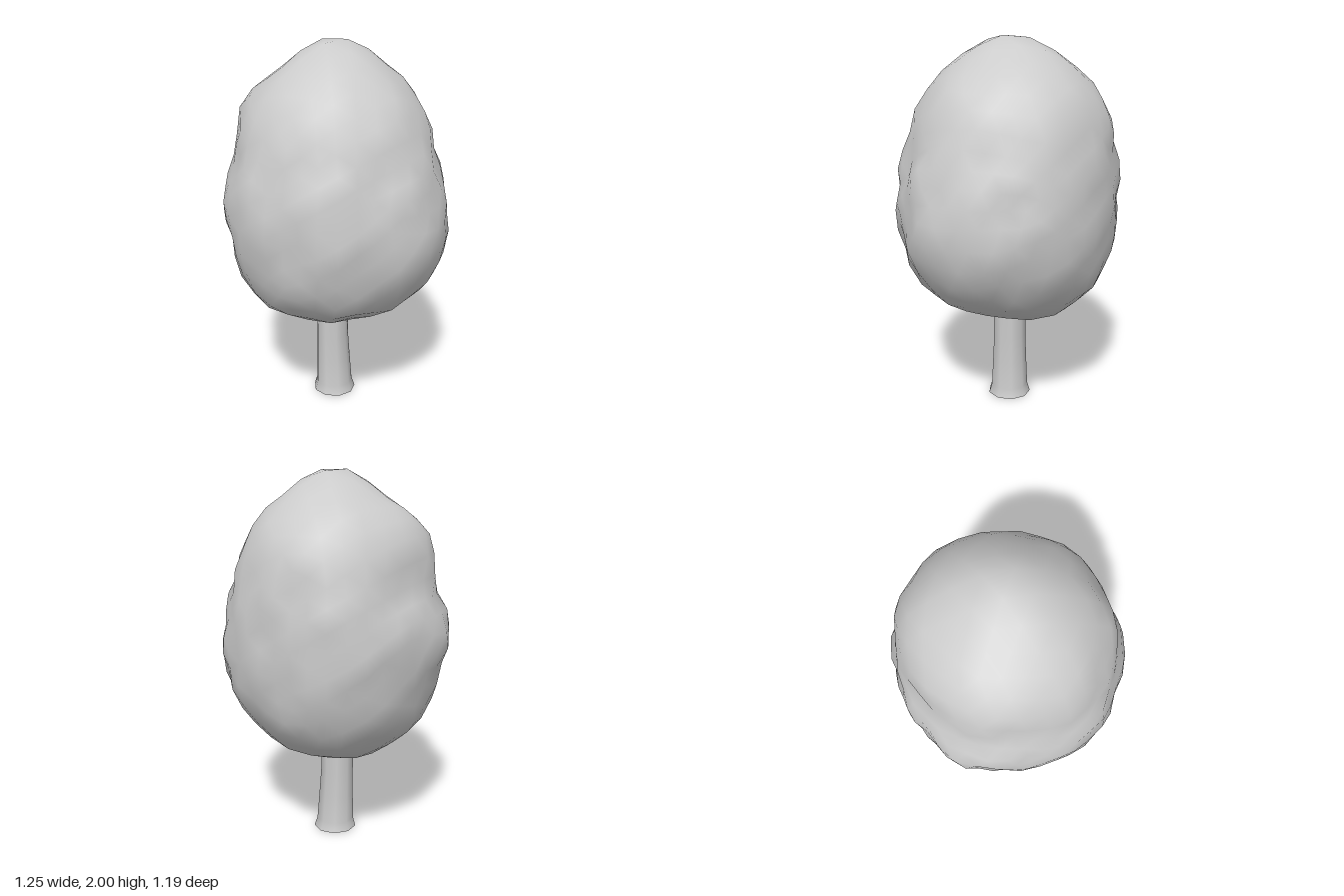
import * as THREE from 'three';
import { mergeVertices } from 'three/addons/utils/BufferGeometryUtils.js';

const CENTRE_Y = 1.2;

// Crown radius from its centre, every 22.5 degrees from the top down to the bottom
const PROFILES = [
  [0.825, 0.715, 0.645, 0.58, 0.60, 0.665, 0.695, 0.695, 0.69], // left, +x
  [0.825, 0.73, 0.65, 0.58, 0.585, 0.62, 0.705, 0.70, 0.69], // front, +z
  [0.825, 0.715, 0.70, 0.58, 0.63, 0.625, 0.70, 0.745, 0.69], // right, -x
  [0.825, 0.75, 0.69, 0.605, 0.575, 0.615, 0.70, 0.745, 0.69], // back, -z
];

// Swells and hollows around the crown, every 22.5 degrees from +x towards +z
const SWELLS = [0.005, 0.013, -0.018, 0.018, 0, 0.018, -0.01, -0.025,
  0, -0.022, -0.015, 0.015, 0, -0.01, -0.007, -0.012];

// Centres of the leafy lumps, spread evenly over a sphere
const LUMPS = Array.from({ length: 70 }, (_, i) => {
  const y = 1 - (2 * i + 1) / 70;
  const r = Math.sqrt(1 - y * y);
  return new THREE.Vector3(r * Math.cos(i * 2.39996), y, r * Math.sin(i * 2.39996));
});

// Straight blend between the entries of one profile
function profileRadius(profile, polar) {
  const t = (polar / Math.PI) * 8;
  const i = Math.min(7, Math.floor(t));
  return THREE.MathUtils.lerp(profile[i], profile[i + 1], t - i);
}

// Blend of the two profiles either side of a direction, plus the swells
function crownRadius(d) {
  const polar = Math.acos(THREE.MathUtils.clamp(d.y, -1, 1));
  const turn = (Math.atan2(d.z, d.x) / (Math.PI / 2) + 4) % 4;
  const i = Math.floor(turn);
  const w = Math.sin((turn - i) * Math.PI / 2) ** 2;
  const s = Math.floor(turn * 4);
  const swell = THREE.MathUtils.lerp(SWELLS[s], SWELLS[(s + 1) % 16], turn * 4 - s);
  return swell * (1 - d.y * d.y) + THREE.MathUtils.lerp(
    profileRadius(PROFILES[i], polar), profileRadius(PROFILES[(i + 1) % 4], polar), w);
}

// Rounded lumps with shallow creases between them, fading out at the top and bottom
function lumpHeight(d) {
  const nearest = Math.min(...LUMPS.map((p) => p.distanceToSquared(d)));
  return (0.01 - 0.4 * nearest) * (1 - d.y ** 4);
}

function makeCrown(material) {
  const geometry = new THREE.IcosahedronGeometry(1, 6);
  geometry.deleteAttribute('normal');
  geometry.deleteAttribute('uv');
  const merged = mergeVertices(geometry, 1e-4);
  const pos = merged.attributes.position;
  const d = new THREE.Vector3();
  for (let i = 0; i < pos.count; i++) {
    d.fromBufferAttribute(pos, i).normalize();
    const r = crownRadius(d) + lumpHeight(d);
    pos.setXYZ(i, d.x * r, CENTRE_Y + d.y * r, d.z * r);
  }
  merged.computeVertexNormals();
  const crown = new THREE.Mesh(merged, material);
  crown.name = 'crown';
  return crown;
}

function makeTrunk(material) {
  // Flared foot, slight taper, open ends
  const points = [[0.12, 0], [0.104, 0.05], [0.097, 0.2], [0.091, 0.35], [0.09, 0.64]]
    .map(([r, y]) => new THREE.Vector2(r, y));
  const geometry = new THREE.LatheGeometry(points, 9);
  const pos = geometry.attributes.position;
  // Lean a little to the right and forward with height
  for (let i = 0; i < pos.count; i++) {
    const lean = Math.min(1, pos.getY(i) / 0.4);
    pos.setX(i, pos.getX(i) - 0.005 - 0.013 * lean);
    pos.setZ(i, pos.getZ(i) - 0.006 + 0.004 * lean);
  }
  const trunk = new THREE.Mesh(geometry, material);
  trunk.name = 'trunk';
  return trunk;
}

export function createModel() {
  const tree = new THREE.Group();
  tree.name = 'tree';
  tree.add(
    makeCrown(new THREE.MeshStandardMaterial({ color: 0xcccccc })),
    makeTrunk(new THREE.MeshStandardMaterial({ color: 0xcccccc, side: THREE.DoubleSide })),
  );
  return tree;
}
